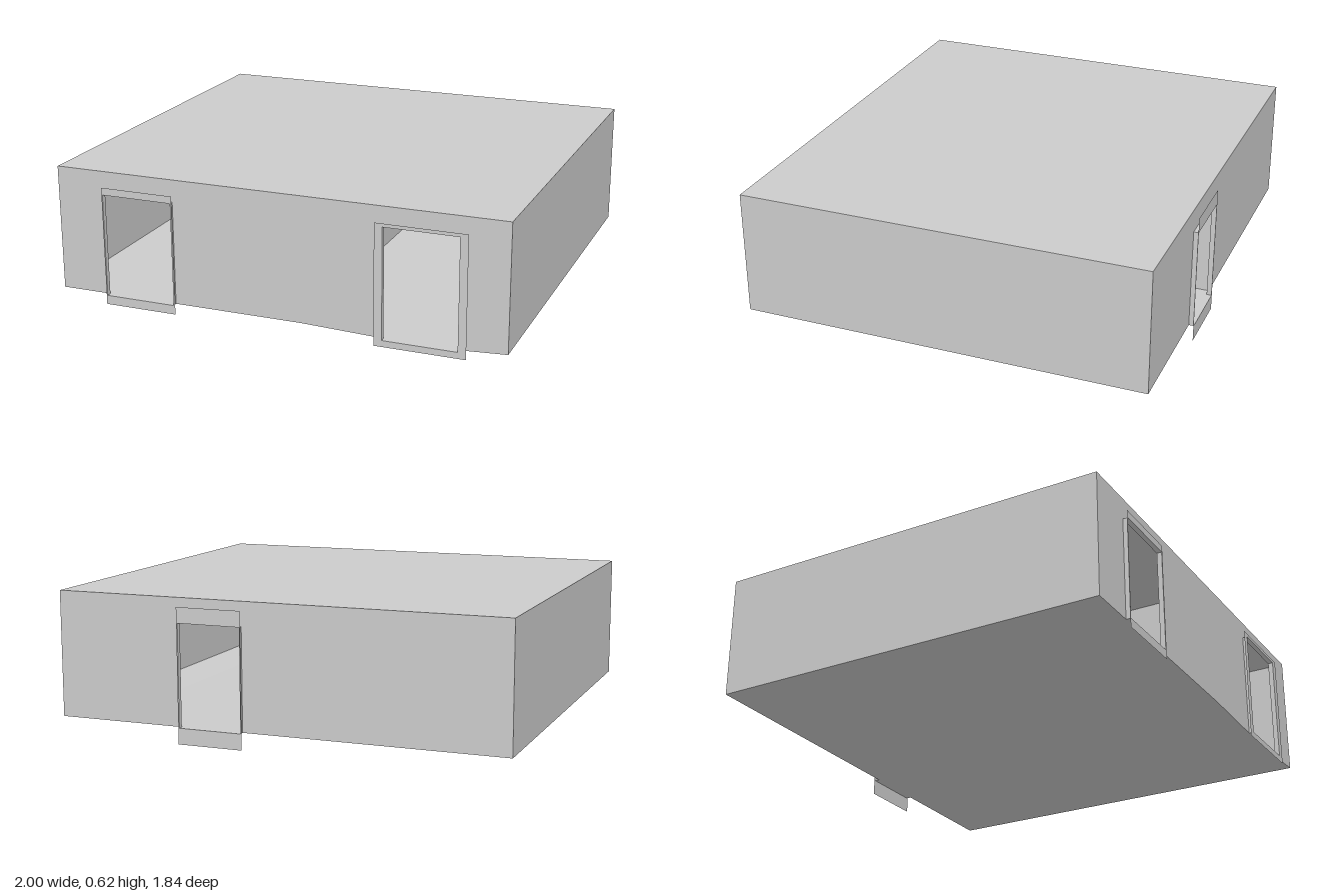
import * as THREE from 'three';

const material = new THREE.MeshStandardMaterial({
  color: 0xcccccc, flatShading: true, side: THREE.DoubleSide,
});

const FLOOR = 0.07, ROOF = 0.62, DEPTH = 0.9, LIP = 0.922, PARTITION = 0.115;

// Each doorway: wall side, opening [x0, x1, y0, y1] and trim outline
const doors = [
  { name: 'frontRightDoor', side: 1, open: [-0.775, -0.457, FLOOR, 0.523], trim: [-0.78, -0.45, 0.03, 0.555] },
  { name: 'frontLeftDoor', side: 1, open: [0.48, 0.8, 0.058, 0.54], trim: [0.445, 0.835, 0.03, 0.555] },
  { name: 'backDoor', side: -1, open: [0.15, 0.431, FLOOR, 0.515], trim: [0.145, 0.436, 0, 0.583] },
];

// Floor edge along the front dips slightly at the left door sill
const frontSill = [[-1, FLOOR], [PARTITION, FLOOR], [0.48, 0.058], [0.8, 0.058], [1, FLOOR]];

function addMesh(parent, name, geometry) {
  const mesh = new THREE.Mesh(geometry, material);
  mesh.name = name;
  parent.add(mesh);
  return mesh;
}

const rectangle = ([x0, x1, y0, y1]) =>
  [[x0, y0], [x1, y0], [x1, y1], [x0, y1]].map((p) => new THREE.Vector2(...p));

// Ruled surface joining two polylines of equal length
function strip(a, b) {
  const position = [], index = [];
  a.forEach((p, i) => {
    position.push(...p, ...b[i]);
    if (i > 0) {
      const k = 2 * i;
      index.push(k - 2, k, k - 1, k - 1, k, k + 1);
    }
  });
  const geometry = new THREE.BufferGeometry();
  geometry.setAttribute('position', new THREE.Float32BufferAttribute(position, 3));
  geometry.setIndex(index);
  geometry.computeVertexNormals();
  return geometry;
}

// Wall outline, notched from its bottom edge by the door openings
function wall(parent, name, side, bottom) {
  const outline = bottom.map((p) => new THREE.Vector2(...p));
  outline.push(new THREE.Vector2(1, ROOF), new THREE.Vector2(-1, ROOF));
  addMesh(parent, name, new THREE.ShapeGeometry(new THREE.Shape(outline))).position.z = side * DEPTH;
}

const notch = ([x0, x1, y0, y1]) => [[x0, y0], [x0, y1], [x1, y1], [x1, y0]];

export function createModel() {
  const model = new THREE.Group();
  model.name = 'building';

  // Outer shell
  wall(model, 'frontWall', 1, [
    [-1, FLOOR], ...notch(doors[0].open), [PARTITION, FLOOR], ...notch(doors[1].open), [1, FLOOR],
  ]);
  wall(model, 'backWall', -1, [[-1, FLOOR], ...notch(doors[2].open), [1, FLOOR]]);

  // Side walls and the inner partition
  for (const [name, x] of [['rightWall', -1], ['leftWall', 1], ['partition', PARTITION]]) {
    const panel = addMesh(model, name, new THREE.PlaneGeometry(2 * DEPTH, ROOF - FLOOR));
    panel.rotation.y = x < 0 ? -Math.PI / 2 : Math.PI / 2;
    panel.position.set(x, (ROOF + FLOOR) / 2, 0);
  }

  // Roof and floor
  const roof = addMesh(model, 'roof', new THREE.PlaneGeometry(2, 2 * DEPTH));
  roof.rotation.x = -Math.PI / 2;
  roof.position.y = ROOF;
  addMesh(model, 'floor', strip(
    frontSill.map(([x, y]) => [x, y, DEPTH]),
    frontSill.map(([x]) => [x, FLOOR, -DEPTH]),
  ));

  // Doorways: a shallow lining out of the wall and a flat trim around it
  for (const { name, side, open, trim } of doors) {
    const door = new THREE.Group();
    door.name = name;
    const loop = rectangle(open);
    const ring = [...loop, loop[0]];
    addMesh(door, 'lining', strip(
      ring.map((p) => [p.x, p.y, side * DEPTH]),
      ring.map((p) => [p.x, p.y, side * LIP]),
    ));
    const shape = new THREE.Shape(rectangle(trim));
    shape.holes.push(new THREE.Path(loop));
    addMesh(door, 'trim', new THREE.ShapeGeometry(shape)).position.z = side * LIP;
    model.add(door);
  }
  return model;
}
